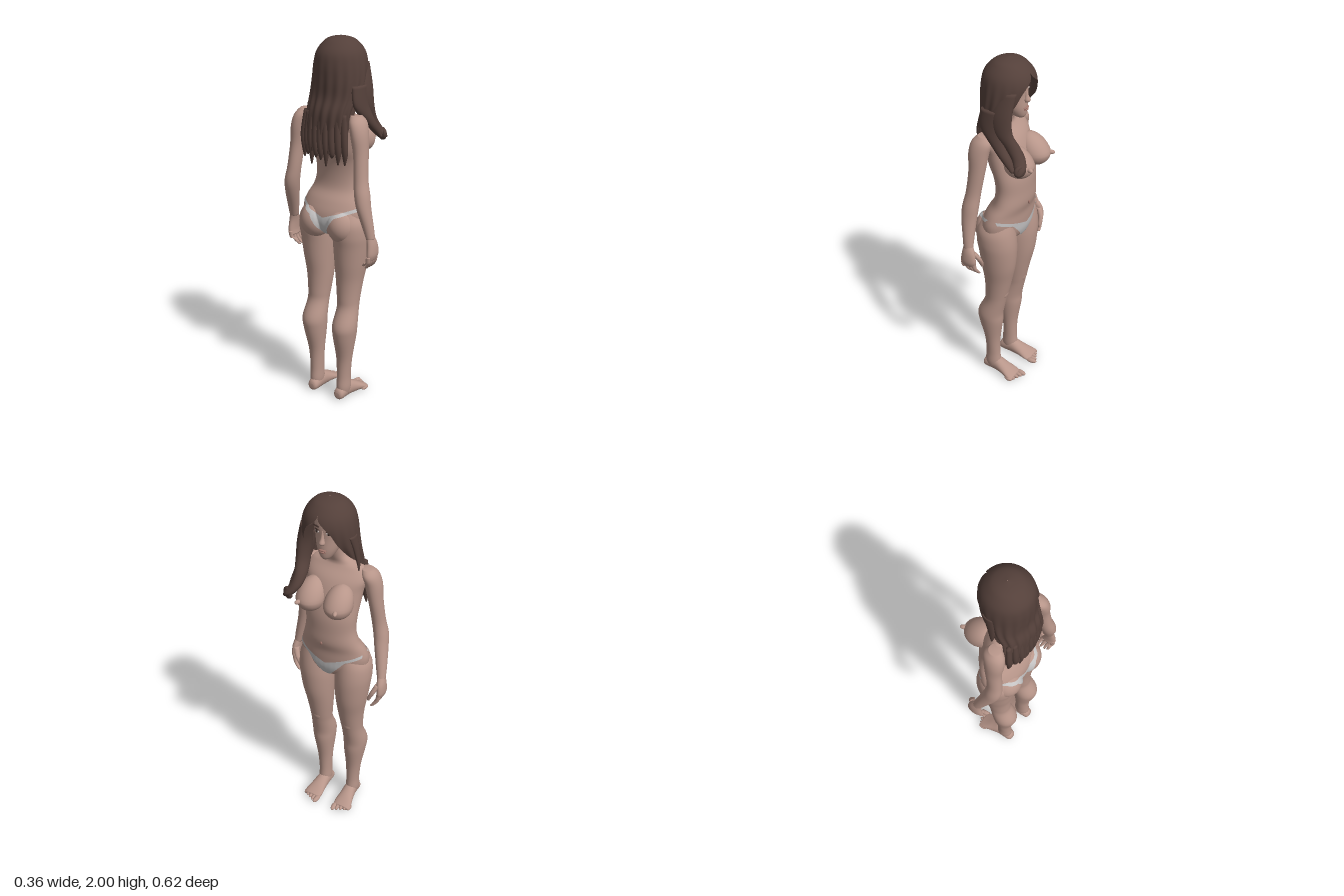
import * as THREE from 'three';

const mat = (name, color, side = THREE.FrontSide) => {
  const m = new THREE.MeshStandardMaterial({ color, side });
  m.name = name;
  return m;
};
const skin = mat('skin', 0xb8968a);
const hair = mat('hair', 0x54403a, THREE.DoubleSide);
const cloth = mat('cloth', 0xc4c2c2, THREE.DoubleSide);
const lip = mat('lip', 0xa0766c);
const eyeWhite = mat('eyeWhite', 0xcfc4c0);
const dark = mat('dark', 0x3a2a26);

// Catmull-Rom smoothing of rows of numbers
const cr = (a, b, c, d, t) =>
  0.5 * (2 * b + (c - a) * t + (2 * a - 5 * b + 4 * c - d) * t * t + (3 * b - a - 3 * c + d) * t * t * t);
function smooth(rows, n = 5) {
  const out = [];
  const at = i => rows[Math.min(rows.length - 1, Math.max(0, i))];
  for (let i = 0; i < rows.length - 1; i++)
    for (let k = 0; k < n; k++)
      out.push(rows[i].map((_, j) => cr(at(i - 1)[j], at(i)[j], at(i + 1)[j], at(i + 2)[j], k / n)));
  out.push(rows[rows.length - 1]);
  return out;
}

// Grid of points to geometry; closed wraps each row
function grid(rows, closed) {
  const w = rows[0].length, pos = rows.flat(2), idx = [];
  for (let i = 0; i < rows.length - 1; i++)
    for (let j = 0; j < (closed ? w : w - 1); j++) {
      const a = i * w + j, b = i * w + (j + 1) % w;
      idx.push(a, b, a + w, b, b + w, a + w);
    }
  if (closed) {
    // turn the faces outward
    const v = i => new THREE.Vector3().fromArray(pos, i * 3);
    let vol = 0;
    for (let i = 0; i < idx.length; i += 3) vol += v(idx[i]).dot(v(idx[i + 1]).cross(v(idx[i + 2])));
    if (vol < 0) idx.reverse();
  }
  const g = new THREE.BufferGeometry();
  g.setAttribute('position', new THREE.Float32BufferAttribute(pos, 3));
  g.setIndex(idx);
  g.computeVertexNormals();
  return g;
}

export function createModel() {
  const model = new THREE.Group();
  const add = (name, geo, material) => {
    const m = new THREE.Mesh(geo, material);
    m.name = name;
    model.add(m);
    return m;
  };
  // Elliptical sections [x, y, z, ra, rb]; axis 'y': ra along x, rb along z; axis 'x': ra along y
  const loft = (name, material, sections, axis = 'y', segs = 28) => {
    const s = smooth(sections), first = s[0], last = s[s.length - 1];
    s.unshift([...first.slice(0, 3), 1e-4, 1e-4]);
    s.push([...last.slice(0, 3), 1e-4, 1e-4]);
    const rows = s.map(([x, y, z, a, b]) => Array.from({ length: segs }, (_, i) => {
      const t = i / segs * Math.PI * 2, c = Math.cos(t) * a, d = Math.sin(t) * b;
      return axis === 'y' ? [x + c, y, z + d] : [x, y + c, z + d];
    }));
    return add(name, grid(rows, true), material);
  };
  const ball = (name, material, p, r, rotY = 0) => {
    const m = add(name, new THREE.SphereGeometry(1, 24, 16), material);
    m.position.set(...p);
    m.scale.set(...r);
    m.rotation.y = rotY;
    return m;
  };

  // Torso and neck
  const body = [loft('torso', skin, [
    [-0.035, 0.94, 0, 0.03, 0.03], [-0.035, 0.97, 0, 0.085, 0.1], [-0.035, 1.02, 0, 0.108, 0.18],
    [-0.03, 1.08, 0, 0.11, 0.197], [-0.015, 1.14, 0, 0.1, 0.183], [0.01, 1.2, 0, 0.09, 0.157],
    [0.015, 1.27, 0, 0.087, 0.142], [0.01, 1.35, 0, 0.092, 0.145], [-0.01, 1.42, 0, 0.1, 0.15],
    [-0.03, 1.5, 0, 0.098, 0.158], [-0.045, 1.56, 0, 0.085, 0.17], [-0.06, 1.61, 0, 0.06, 0.15],
    [-0.06, 1.635, 0, 0.05, 0.09], [-0.045, 1.67, 0.003, 0.045, 0.052], [-0.015, 1.75, 0.01, 0.043, 0.045]], 'y', 40)];
  ball('navel', lip, [0.102, 1.195, 0.01], [0.004, 0.01, 0.007]);

  for (const s of [1, -1]) {
    const side = s > 0 ? 'left' : 'right';
    // Chest, sloping back above the middle
    const g = new THREE.SphereGeometry(1, 28, 20), p = g.attributes.position;
    for (let i = 0; i < p.count; i++) {
      const y = p.getY(i);
      if (y > 0) p.setXYZ(i, p.getX(i) - 0.45 * y, y * 1.3, p.getZ(i));
    }
    g.computeVertexNormals();
    const breast = add(side + 'Breast', g, skin);
    breast.position.set(0.082, 1.455, s * 0.08);
    breast.scale.set(0.083, 0.075, 0.075);
    ball(side + 'Nipple', skin, [0.16, 1.455, s * 0.106], [0.022, 0.012, 0.012], -s * 0.4);

    // Hips and legs
    body.push(ball(side + 'Buttock', skin, [-0.085, 1.015, s * 0.088], [0.085, 0.095, 0.087]));
    body.push(loft(side + 'Leg', skin, [
      [-0.03, 1.1, 0.1, 0.085, 0.07], [-0.038, 1.04, 0.108, 0.105, 0.095], [-0.035, 0.97, 0.11, 0.11, 0.1],
      [-0.03, 0.9, 0.107, 0.105, 0.097], [-0.03, 0.8, 0.103, 0.095, 0.087], [-0.035, 0.7, 0.098, 0.078, 0.074],
      [-0.045, 0.6, 0.098, 0.066, 0.063], [-0.055, 0.54, 0.1, 0.062, 0.06], [-0.085, 0.45, 0.102, 0.073, 0.067],
      [-0.085, 0.38, 0.1, 0.069, 0.062], [-0.08, 0.25, 0.095, 0.045, 0.045], [-0.08, 0.14, 0.092, 0.042, 0.037],
      [-0.08, 0.07, 0.092, 0.047, 0.037], [-0.08, 0.03, 0.092, 0.04, 0.03]]
      .map(([x, y, z, a, b]) => [x, y, s * z, a, b])));
    ball(side + 'Knee', skin, [0, 0.61, s * 0.098], [0.023, 0.045, 0.035]);

    // Feet and toes
    loft(side + 'Foot', skin, [
      [-0.14, 0.03, 0.09, 0.014, 0.015], [-0.125, 0.035, 0.09, 0.033, 0.03], [-0.06, 0.048, 0.09, 0.047, 0.036],
      [0, 0.036, 0.094, 0.035, 0.044], [0.05, 0.022, 0.098, 0.021, 0.053], [0.078, 0.016, 0.1, 0.012, 0.046]]
      .map(([x, y, z, a, b]) => [x, y, s * z, a, b]), 'x');
    for (let i = 0; i < 5; i++)
      ball(side + 'Toe', skin, [0.088 - i * 0.009, 0.014, s * (0.06 + i * 0.021)],
        [0.033 - i * 0.002, i ? 0.012 : 0.014, i ? 0.011 : 0.015], -s * 0.1);

    // Arms and hands; the right forearm swings forward
    const swing = (x, y) => x + (s < 0 ? 0.075 * Math.min(1, Math.max(0, 1.25 - y) / 0.28) : 0);
    const limb = (name, rows, segs) => loft(side + name, skin,
      rows.map(([x, y, z, a, b]) => [swing(x, y), y, s * z, a, b]), 'y', segs);
    limb('Arm', [
      [-0.07, 1.615, 0.16, 0.03, 0.03], [-0.075, 1.58, 0.175, 0.055, 0.042], [-0.085, 1.52, 0.19, 0.055, 0.043],
      [-0.09, 1.42, 0.203, 0.045, 0.037], [-0.105, 1.3, 0.215, 0.041, 0.036], [-0.115, 1.22, 0.23, 0.045, 0.039],
      [-0.118, 1.15, 0.243, 0.043, 0.036], [-0.11, 1.05, 0.265, 0.032, 0.029], [-0.105, 0.99, 0.278, 0.027, 0.022]]);
    limb('Palm', [[-0.105, 1, 0.277, 0.026, 0.021], [-0.1, 0.96, 0.285, 0.038, 0.022],
      [-0.1, 0.91, 0.288, 0.045, 0.021], [-0.103, 0.88, 0.282, 0.04, 0.018]]);
    for (let i = 0; i < 4; i++) {
      const x = -0.136 + i * 0.022, d = i === 0 ? 0.02 : 0;
      limb('Finger', [[x, 0.9, 0.286, 0.012, 0.013], [x + 0.002, 0.865, 0.28, 0.011, 0.012],
        [x + 0.006, 0.84 + d, 0.265, 0.01, 0.011], [x + 0.01, 0.822 + d, 0.25, 0.007, 0.008]], 10);
    }
    limb('Thumb', [[-0.075, 0.96, 0.275, 0.015, 0.015], [-0.055, 0.92, 0.258, 0.015, 0.014],
      [-0.05, 0.88, 0.24, 0.011, 0.011], [-0.05, 0.86, 0.235, 0.006, 0.006]], 12);

    // Face features on each side
    const z = 0.01 + s * 0.034;
    ball(side + 'Eye', eyeWhite, [0.074, 1.838, z], [0.005, 0.008, 0.016], -s * 0.35);
    ball(side + 'Iris', dark, [0.078, 1.838, z], [0.004, 0.007, 0.007], -s * 0.35);
    ball(side + 'Lashes', dark, [0.075, 1.847, z], [0.006, 0.003, 0.018], -s * 0.35);
    ball(side + 'Brow', dark, [0.076, 1.865, z + s * 0.003], [0.005, 0.003, 0.02], -s * 0.35);
    ball(side + 'Ear', skin, [-0.01, 1.82, 0.01 + s * 0.08], [0.022, 0.034, 0.01]);
  }

  // Head
  loft('head', skin, [
    [0.045, 1.685, 0.01, 0.022, 0.018], [0.037, 1.7, 0.01, 0.04, 0.034], [0.022, 1.74, 0.01, 0.06, 0.056],
    [0, 1.8, 0.01, 0.08, 0.074], [-0.008, 1.86, 0.01, 0.09, 0.081], [-0.01, 1.92, 0.01, 0.082, 0.076],
    [-0.02, 1.97, 0.01, 0.05, 0.05]]);
  loft('nose', skin, [[0.074, 1.85, 0.01, 0.008, 0.007], [0.08, 1.81, 0.01, 0.012, 0.009],
    [0.086, 1.785, 0.01, 0.017, 0.015], [0.08, 1.772, 0.01, 0.012, 0.011]], 'y', 14);
  ball('upperLip', lip, [0.08, 1.741, 0.01], [0.01, 0.006, 0.022]);
  ball('lowerLip', lip, [0.079, 1.73, 0.01], [0.01, 0.007, 0.018]);

  // Hair shell, open at the face: [x, y, z, rx, rz, half opening angle]
  const shell = smooth([
    [-0.01, 1.995, 0.02, 0.002, 0.002, 0], [-0.01, 1.985, 0.02, 0.05, 0.055, 0], [-0.01, 1.965, 0.02, 0.088, 0.088, 0],
    [-0.01, 1.92, 0.02, 0.125, 0.122, 0.05], [-0.01, 1.86, 0.02, 0.138, 0.138, 0.5],
    [-0.02, 1.78, 0.02, 0.13, 0.145, 0.75], [-0.045, 1.7, 0.015, 0.105, 0.145, 1],
    [-0.08, 1.62, 0.01, 0.09, 0.138, 1.5], [-0.09, 1.52, 0, 0.08, 0.14, 1.75], [-0.1, 1.42, 0, 0.072, 0.14, 1.8]]);
  add('hairShell', grid(shell.map(([x, y, z, a, b, open]) => Array.from({ length: 121 }, (_, i) => {
    const t = open + i / 120 * 2 * (Math.PI - open);
    const k = 1 + Math.min(0.05, Math.max(0, 1.92 - y) * 0.13) * Math.sin(t * 17 + y * 4);
    return [x + a * k * Math.cos(t), y, z + b * k * Math.sin(t)];
  })), false), hair);
  // Loose tips along the back
  for (let i = 0; i < 9; i++) {
    const z = -0.128 + i * 0.032, x = -0.162 + 2 * z * z, end = 1.37 + 0.025 * Math.sin(i * 2.3);
    loft('backStrand', hair, [[x + 0.01, 1.62, z * 0.9, 0.012, 0.018], [x, 1.5, z, 0.016, 0.019],
      [x, 1.42, z + 0.004, 0.014, 0.016], [x + 0.004, end, z, 0.003, 0.004]], 'y', 12);
  }
  // Long lock over the left shoulder, curling at its end
  loft('frontLock', hair, [[0.04, 1.86, 0.115, 0.05, 0.03], [0.02, 1.75, 0.145, 0.06, 0.03],
    [0.03, 1.65, 0.15, 0.055, 0.032], [0.075, 1.58, 0.138, 0.045, 0.033], [0.115, 1.53, 0.142, 0.036, 0.032],
    [0.14, 1.49, 0.165, 0.03, 0.03], [0.145, 1.465, 0.185, 0.018, 0.018]]);
  loft('sideLock', hair, [[-0.03, 1.76, 0.15, 0.06, 0.025], [-0.03, 1.66, 0.16, 0.06, 0.025],
    [0.02, 1.58, 0.17, 0.04, 0.025], [0.07, 1.52, 0.178, 0.03, 0.022], [0.11, 1.47, 0.185, 0.012, 0.012]]);
  const curl = add('lockCurl', new THREE.TorusGeometry(0.022, 0.012, 10, 20), hair);
  curl.position.set(0.145, 1.48, 0.175);
  curl.rotation.y = 1.1;
  loft('rightStrand', hair, [[0, 1.82, -0.112, 0.035, 0.014], [-0.02, 1.74, -0.122, 0.025, 0.012],
    [-0.03, 1.66, -0.13, 0.014, 0.008], [-0.03, 1.61, -0.133, 0.004, 0.003]], 'y', 12);

  // Brief, laid on the body surface front and back
  model.updateMatrixWorld(true);
  const ray = new THREE.Raycaster();
  const lay = (name, d, low, slope) => {
    const rows = [];
    for (let i = 0; i <= 60; i++) {
      const z = -0.184 + i / 60 * 0.368, a = Math.abs(z);
      const top = 1.06 + 0.37 * a, bottom = Math.min(top - 0.018, low + slope * a);
      rows.push(Array.from({ length: 17 }, (_, j) => {
        const y = bottom + (top - bottom) * j / 16;
        ray.set(new THREE.Vector3(d, y, z), new THREE.Vector3(-d, 0, 0));
        const hit = ray.intersectObjects(body)[0];
        return [(hit ? hit.point.x : -0.015) + d * 0.005, y, z];
      }));
    }
    add(name, grid(rows, false), cloth);
  };
  lay('briefFront', 1, 0.952, 1.2);
  lay('briefBack', -1, 0.952, 1.5);

  return model;
}
